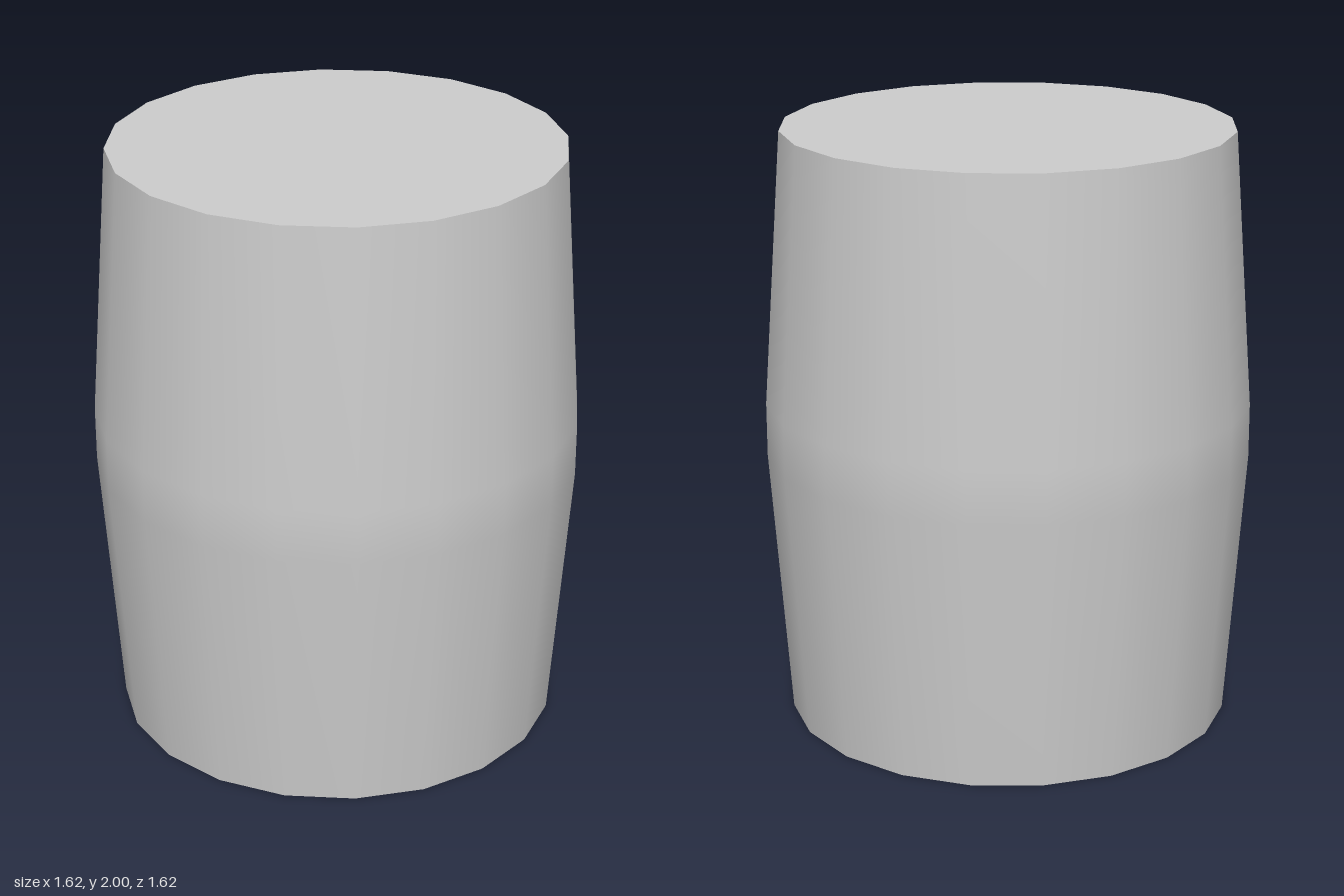
import * as THREE from 'three';

const SIDES = 20;
const END_RADIUS = 0.743;
const BELLY_RADIUS = 0.808;
const HEIGHT = 2;

export function createModel() {
  const group = new THREE.Group();
  group.name = 'barrel';
  const material = new THREE.MeshStandardMaterial({ color: 0xcccccc });

  // Bulging wall: two tapered halves joined by a narrow straight belly band
  const profile = [
    [END_RADIUS, 0],
    [BELLY_RADIUS, 0.91],
    [BELLY_RADIUS, 1.09],
    [END_RADIUS, HEIGHT],
  ].map(([r, y]) => new THREE.Vector2(r, y));
  const wall = new THREE.Mesh(new THREE.LatheGeometry(profile, SIDES), material);
  wall.name = 'barrelWall';
  group.add(wall);

  // Flat discs closing both ends
  for (const [name, y, tilt] of [['topLid', HEIGHT, -Math.PI / 2], ['bottomLid', 0, Math.PI / 2]]) {
    const lid = new THREE.Mesh(new THREE.CircleGeometry(END_RADIUS, SIDES), material);
    lid.name = name;
    lid.rotation.x = tilt;
    lid.position.y = y;
    group.add(lid);
  }

  return group;
}
